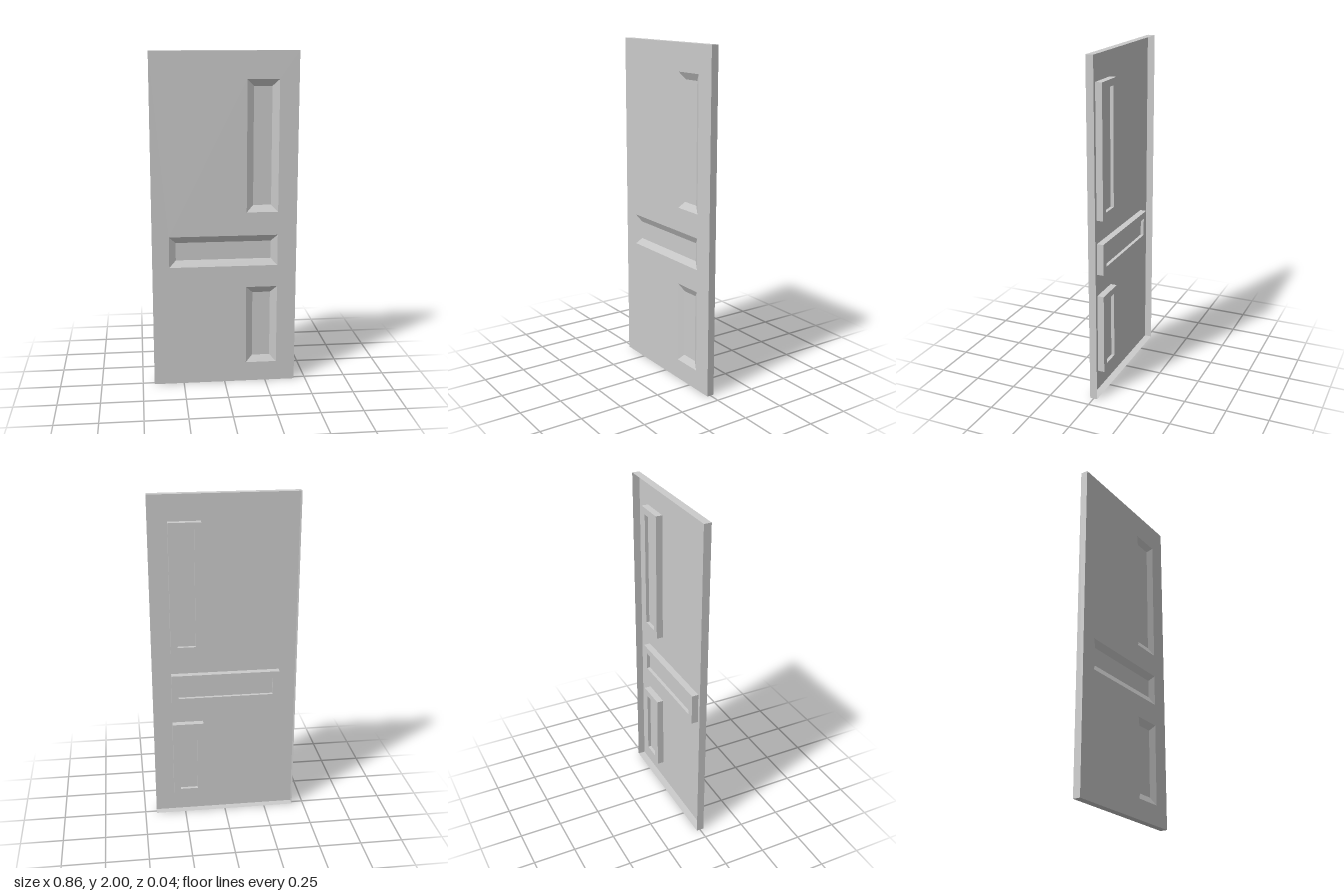
import * as THREE from 'three';

const W = 0.43, H = 2, FRONT = 0.022, BACK = -0.022;
const PANE_Z = 0.002, RING_BACK = -0.018, BEVEL = 0.04;

// Recessed panels: left, right, bottom, top
const PANELS = [
  ['upperPanel', 0.13, 0.317, 1.065, 1.84],
  ['middlePanel', -0.33, 0.317, 0.738, 0.925],
  ['lowerPanel', 0.13, 0.317, 0.12, 0.605],
];

const material = new THREE.MeshStandardMaterial({
  color: 0xcccccc, side: THREE.DoubleSide, flatShading: true,
});

function mesh(name, geometry) {
  const m = new THREE.Mesh(geometry, material);
  m.name = name;
  return m;
}

// Four corners of a rectangle, counter-clockwise from the front
function corners([x0, x1, y0, y1], inset = 0) {
  return [
    [x0 + inset, y0 + inset], [x1 - inset, y0 + inset],
    [x1 - inset, y1 - inset], [x0 + inset, y1 - inset],
  ];
}

// Mitred strips around a rectangle, following a profile of [inset, z] points
function rectangularBand(rect, profile) {
  const pos = [];
  for (let i = 0; i < profile.length - 1; i++) {
    const [insetA, zA] = profile[i], [insetB, zB] = profile[i + 1];
    const a = corners(rect, insetA), b = corners(rect, insetB);
    for (let k = 0; k < 4; k++) {
      const n = (k + 1) % 4;
      const p = [...a[k], zA], q = [...a[n], zA], r = [...b[n], zB], s = [...b[k], zB];
      pos.push(...p, ...q, ...r, ...p, ...r, ...s);
    }
  }
  const g = new THREE.BufferGeometry();
  g.setAttribute('position', new THREE.Float32BufferAttribute(pos, 3));
  g.computeVertexNormals();
  return g;
}

export function createModel() {
  const door = new THREE.Group();
  door.name = 'door';
  const outline = [-W, W, 0, H];
  const toPoints = (rect) => corners(rect).map(([x, y]) => new THREE.Vector2(x, y));

  // Front skin with an opening for every panel
  const skin = new THREE.Shape(toPoints(outline));
  for (const [, ...rect] of PANELS) skin.holes.push(new THREE.Path(toPoints(rect).reverse()));
  const skinMesh = mesh('frontSkin', new THREE.ShapeGeometry(skin));
  skinMesh.position.z = FRONT;
  door.add(skinMesh);

  // Folded edge, open at the back
  door.add(mesh('edgeRim', rectangularBand(outline, [[0, BACK], [0, FRONT]])));

  for (const [name, ...rect] of PANELS) {
    const panel = new THREE.Group();
    panel.name = name;

    // Moulding: bevelled in front, square behind
    panel.add(mesh('moulding', rectangularBand(rect, [
      [0, FRONT], [BEVEL, PANE_Z], [BEVEL, RING_BACK], [0, RING_BACK], [0, FRONT],
    ])));

    // Thin pane at the foot of the bevel
    const [x0, x1, y0, y1] = rect;
    const pane = mesh('pane', new THREE.PlaneGeometry(x1 - x0 - 2 * BEVEL, y1 - y0 - 2 * BEVEL));
    pane.position.set((x0 + x1) / 2, (y0 + y1) / 2, PANE_Z);
    panel.add(pane);
    door.add(panel);
  }
  return door;
}
